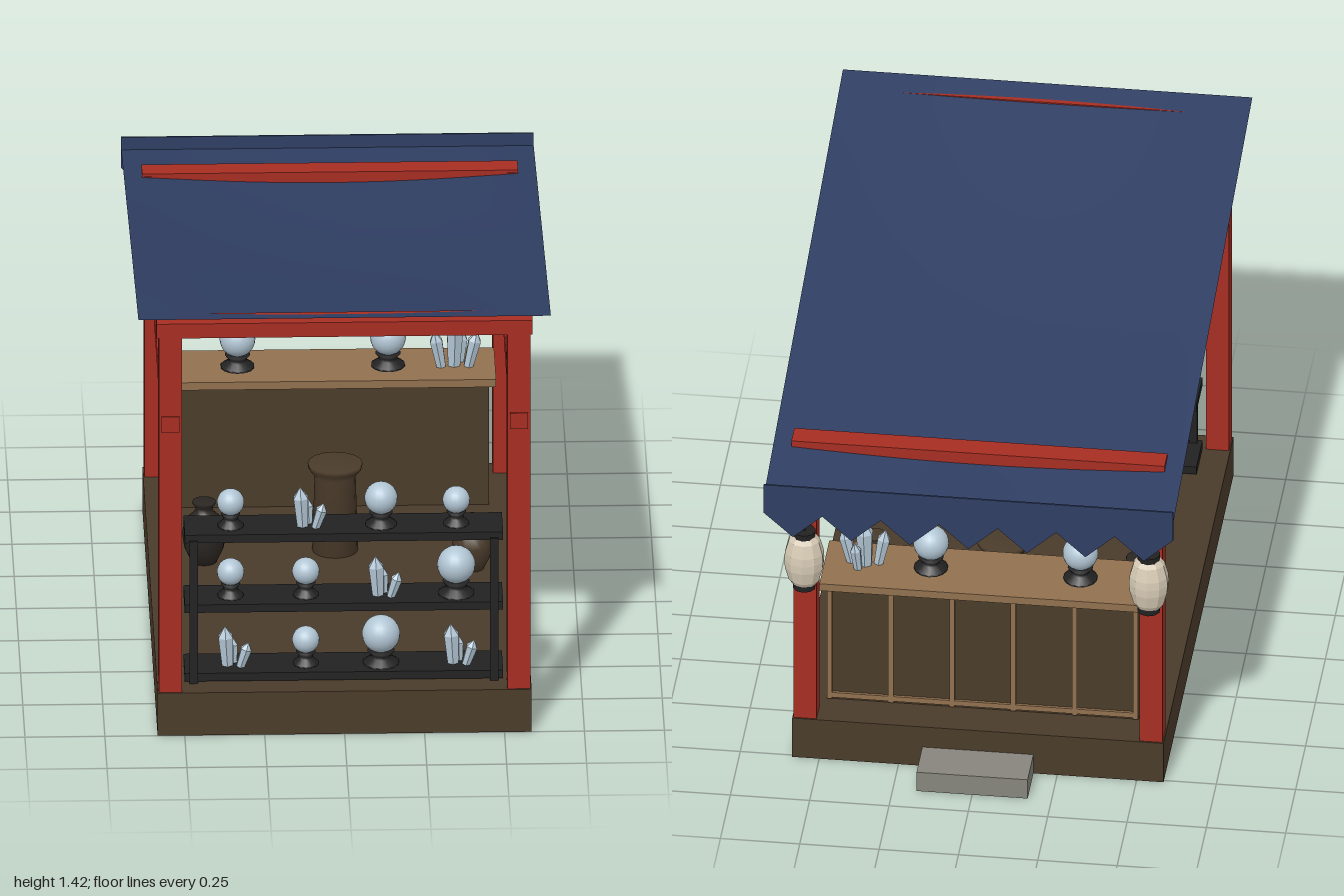
import * as THREE from 'three';

const mat = (name, color, extra = {}) => {
  const m = new THREE.MeshStandardMaterial({ color, ...extra });
  m.name = name;
  return m;
};

export function createModel() {
  const red = mat('red lacquer', 0xa62d22);
  const cloth = mat('navy cloth', 0x2f3e63, { side: THREE.DoubleSide });
  const brown = mat('dark wood', 0x4a3b2a);
  const wood = mat('light wood', 0x91704f);
  const black = mat('black wood', 0x222223);
  const glass = mat('pale crystal', 0xb2c6d4);
  const cream = mat('cream paper', 0xd8ccb6);
  const stone = mat('grey stone', 0x86847c);
  const clay = mat('dark clay', 0x2b2622);

  const model = new THREE.Group();
  model.name = 'marketStall';

  const add = (name, geo, material, x = 0, y = 0, z = 0, parent = model) => {
    const mesh = new THREE.Mesh(geo, material);
    mesh.name = name;
    mesh.position.set(x, y, z);
    parent.add(mesh);
    return mesh;
  };
  // Box given by its low and high limits on each axis
  const box = (name, material, [x0, x1], [y0, y1], [z0, z1], parent = model) =>
    add(name, new THREE.BoxGeometry(x1 - x0, y1 - y0, z1 - z0), material,
      (x0 + x1) / 2, (y0 + y1) / 2, (z0 + z1) / 2, parent);
  const lathe = (pts, sides) =>
    new THREE.LatheGeometry(pts.map(([r, y]) => new THREE.Vector2(r, y)), sides);
  const faceted = (geo) => {
    const g = geo.toNonIndexed();
    g.computeVertexNormals();
    return g;
  };

  // Platform and step
  box('platform', brown, [-0.585, 0.585], [0, 0.145], [-0.76, 1]);
  box('step', stone, [-0.175, 0.175], [0, 0.07], [-0.905, -0.76]);

  // Timber frame
  for (const s of [-1, 1]) {
    const x = s * 0.545;
    const span = (h) => [x - h, x + h];
    box('frontPost', red, span(0.036), [0.145, 1.4], [0.922, 0.995]);
    box('backPost', red, span(0.036), [0.145, 1.17], [-0.755, -0.682]);
    box('sideRail', red, span(0.028), [1.034, 1.088], [-0.76, 1]);
  }
  box('frontBeam', red, [-0.588, 0.588], [1.355, 1.404], [0.916, 0.998]);
  box('backBeam', red, [-0.588, 0.588], [1.118, 1.179], [-0.757, -0.683]);
  box('tagRod', red, [-0.52, 0.52], [1.1, 1.111], [-0.725, -0.714]);

  // Canopy, sagging between its straight edges
  const canopy = new THREE.PlaneGeometry(1.29, 2, 16, 24);
  canopy.rotateX(-Math.PI / 2);
  const p = canopy.attributes.position;
  for (let i = 0; i < p.count; i++) {
    const u = p.getX(i) / 1.29 + 0.5, v = (1 - p.getZ(i)) / 2;
    p.setY(i, 1.42 - 0.295 * v - 0.06 * Math.sin(Math.PI * u) * Math.sin(Math.PI * v));
  }
  canopy.computeVertexNormals();
  add('canopy', canopy, cloth);

  // Zigzag valance
  const zig = new THREE.Shape();
  const teeth = 7, pitch = 1.29 / teeth;
  zig.moveTo(-0.645, 1.168);
  zig.lineTo(-0.645, 1.064);
  for (let i = 0; i < teeth; i++) {
    zig.lineTo(-0.645 + (i + 0.5) * pitch, 0.98);
    zig.lineTo(-0.645 + (i + 1) * pitch, 1.064);
  }
  zig.lineTo(0.645, 1.168);
  add('valance', new THREE.ExtrudeGeometry(zig, { depth: 0.006, bevelEnabled: false }), cloth, 0, 0, -1);

  // Hanging paper tags
  for (let i = -3; i <= 3; i++) {
    box('paperTag', cream, [i * 0.1585 - 0.015, i * 0.1585 + 0.015], [0.985, 1.1], [-0.723, -0.716]);
  }

  // Paper lanterns
  const lanternBody = faceted(lathe([[0.034, 0.672], [0.05, 0.695], [0.062, 0.74],
    [0.064, 0.768], [0.062, 0.795], [0.05, 0.838], [0.034, 0.86]], 10));
  for (const s of [-1, 1]) {
    const lantern = new THREE.Group();
    lantern.name = 'lantern';
    lantern.position.set(s * 0.543, 0, -0.792);
    model.add(lantern);
    add('lanternPaper', lanternBody, cream, 0, 0, 0, lantern).scale.z = 0.9;
    for (const y of [0.671, 0.862]) {
      add('lanternCap', new THREE.CylinderGeometry(0.036, 0.036, 0.02, 10), black, 0, y, 0, lantern);
    }
    add('lanternCord', new THREE.CylinderGeometry(0.004, 0.004, 0.12, 6), black, 0, 0.927, 0, lantern);
  }

  // Counter with a panelled face
  box('counterBody', brown, [-0.49, 0.49], [0.145, 0.56], [-0.633, -0.44]);
  box('counterTop', wood, [-0.512, 0.512], [0.56, 0.586], [-0.657, -0.407]);
  for (let i = 0; i < 6; i++) {
    const x = -0.482 + i * 0.1928;
    box('panelStrip', wood, [x - 0.008, x + 0.008], [0.15, 0.56], [-0.643, -0.633]);
  }
  box('panelBottomRail', wood, [-0.49, 0.49], [0.155, 0.173], [-0.642, -0.633]);

  // Shelf rack
  const shelfTops = [0.177, 0.411, 0.649];
  for (const y of shelfTops) box('shelf', black, [-0.498, 0.498], [y - 0.027, y], [0.768, 0.922]);
  for (const x of [-0.47, 0.47]) {
    box('shelfUpright', black, [x - 0.013, x + 0.013], [0.145, 0.63], [0.903, 0.929]);
  }

  // Crystal ball on a waisted stand
  const ball = (x, y, z, r) => {
    const g = new THREE.Group();
    g.name = 'crystalBall';
    g.position.set(x, y, z);
    model.add(g);
    const k = r / 0.043;
    add('ballStand', lathe([[0, 0], [0.041, 0], [0.041, 0.007], [0.024, 0.022],
      [0.022, 0.03], [0.031, 0.044], [0, 0.044]], 14), black, 0, 0, 0, g).scale.set(k, 1, k);
    add('ball', new THREE.SphereGeometry(r, 20, 14), glass, 0, 0.04 + r, 0, g);
  };
  // Cluster of six-sided crystals: [dx, dz, radius, height, lean]
  const shard = (r, h) => faceted(lathe([[0, 0], [r * 0.75, 0], [r, h * 0.72], [0, h]], 6));
  const cluster = (x, y, z, shards) => {
    const g = new THREE.Group();
    g.name = 'crystalCluster';
    g.position.set(x, y, z);
    model.add(g);
    for (const [dx, dz, r, h, lean] of shards) {
      add('crystal', shard(r, h), glass, dx, 0, dz, g).rotation.set(dz * 3, 0, -lean);
    }
  };
  const small = [[-0.015, 0, 0.026, 0.132, -0.06], [0.025, 0.015, 0.019, 0.088, 0.3], [0.005, -0.02, 0.016, 0.08, -0.02]];
  const large = [[0, 0, 0.029, 0.162, 0.03], [-0.04, 0.01, 0.022, 0.125, -0.18],
    [0.045, 0.01, 0.022, 0.125, 0.22], [0.02, -0.03, 0.018, 0.1, 0.1]];

  // Shelf goods: ball radius per slot, 0 for a crystal cluster
  const goods = [[0, 0.043, 0.06, 0], [0.043, 0.043, 0, 0.06], [0.043, 0, 0.052, 0.043]];
  goods.forEach((row, level) => row.forEach((r, slot) => {
    const x = -0.353 + slot * 0.2353, y = shelfTops[level];
    if (r) ball(x, y, 0.855, r);
    else cluster(x + 0.005, y, 0.855, small);
  }));

  // Counter goods
  ball(-0.294, 0.586, -0.525, 0.056);
  ball(0.177, 0.586, -0.525, 0.056);
  cluster(0.383, 0.586, -0.525, large);

  // Round pedestal
  add('pedestal', lathe([[0, 0], [0.072, 0], [0.064, 0.255], [0.084, 0.28], [0.086, 0.295], [0, 0.295]], 16),
    brown, 0, 0.145, -0.105);

  // Jars
  const jar = lathe([[0, 0], [0.036, 0], [0.056, 0.04], [0.063, 0.085], [0.054, 0.12],
    [0.026, 0.146], [0.024, 0.158], [0.033, 0.168], [0.033, 0.175], [0, 0.175]], 16);
  add('brownJar', jar, brown, 0.425, 0.145, 0.05);
  add('darkJar', jar, clay, -0.412, 0.145, -0.025).scale.set(1.1, 1.17, 1.1);

  return model;
}
